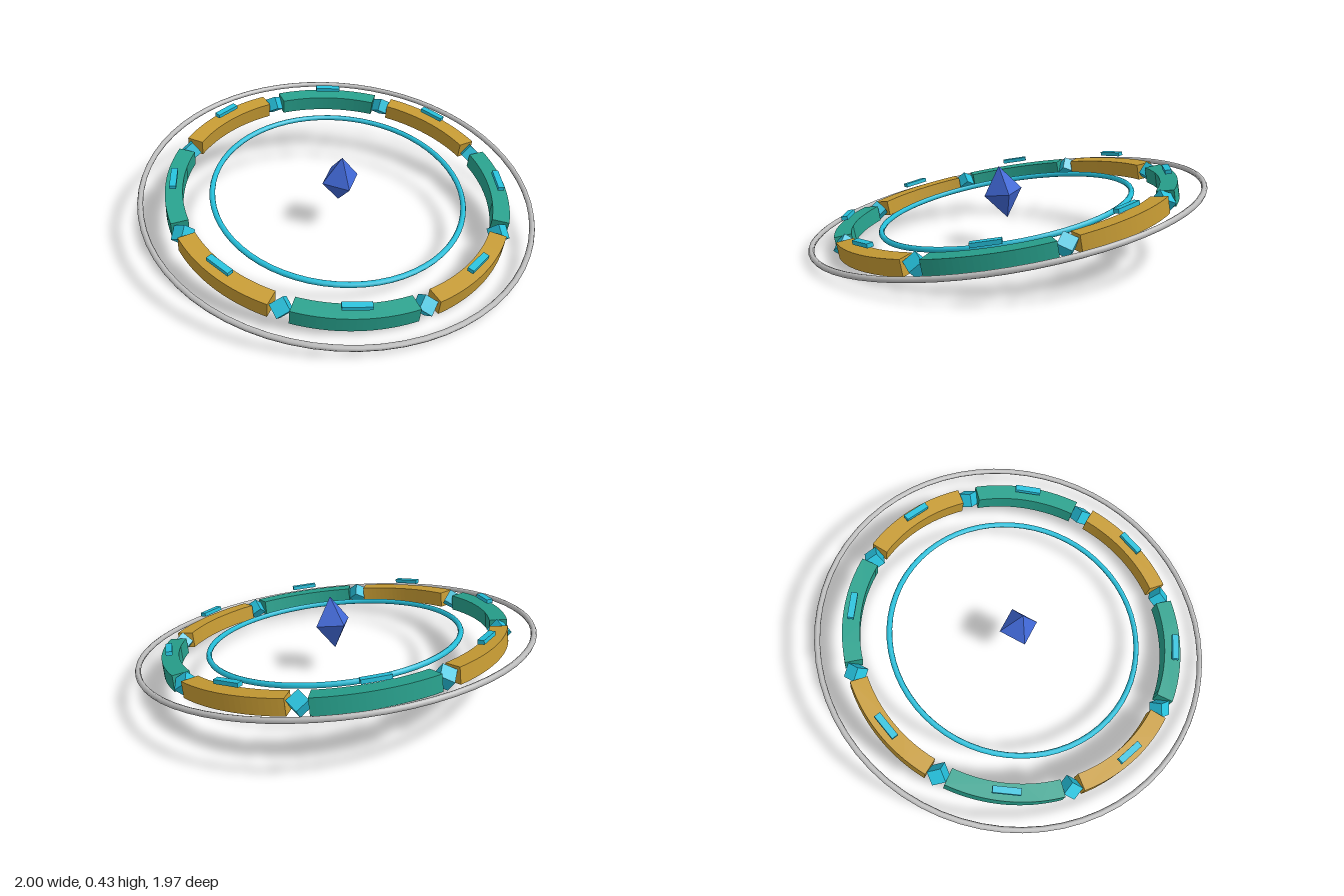
import * as THREE from 'three';

const mat = (name, color, flatShading = false) => {
  const m = new THREE.MeshStandardMaterial({ color, flatShading });
  m.name = name;
  return m;
};

export function createModel() {
  const gold = mat('gold', 0xc59a33);
  const green = mat('green', 0x27a08c);
  const cyan = mat('cyan', 0x25bfda);
  const silver = mat('silver', 0xbcbcbc);
  const blue = mat('blue', 0x4169d8, true);

  const model = new THREE.Group();
  model.name = 'floatingRing';
  const disc = new THREE.Group();
  disc.name = 'tiltedDisc';
  disc.position.y = 0.212;
  disc.rotation.x = THREE.MathUtils.degToRad(10);
  model.add(disc);

  const add = (parent, name, geometry, material) => {
    const mesh = new THREE.Mesh(geometry, material);
    mesh.name = name;
    parent.add(mesh);
    return mesh;
  };

  // Thin inner and outer hoops
  const hoop = (name, radius, tube, material) =>
    add(disc, name, new THREE.TorusGeometry(radius, tube, 8, 64).rotateX(Math.PI / 2), material);
  hoop('outerHoop', 0.985, 0.014, silver);
  hoop('innerHoop', 0.638, 0.014, cyan);

  // One curved block, centred on the back (-z) of the ring
  const half = THREE.MathUtils.degToRad(19.2);
  const arc = new THREE.Shape();
  arc.absarc(0, 0, 0.865, Math.PI / 2 - half, Math.PI / 2 + half, false);
  arc.absarc(0, 0, 0.78, Math.PI / 2 + half, Math.PI / 2 - half, true);
  arc.closePath();
  const blockGeo = new THREE.ExtrudeGeometry(arc, { depth: 0.08, bevelEnabled: false, curveSegments: 10 });
  blockGeo.translate(0, 0, -0.04).rotateX(-Math.PI / 2);
  const plateGeo = new THREE.BoxGeometry(0.135, 0.02, 0.032);
  const gemGeo = new THREE.BoxGeometry(0.07, 0.07, 0.07);

  // Eight blocks, each with a floating plate, and gems in the gaps
  for (let i = 0; i < 8; i++) {
    const sector = new THREE.Group();
    sector.name = 'sector' + (i + 1);
    sector.rotation.y = (i + 0.5) * Math.PI / 4;
    disc.add(sector);
    add(sector, 'ringBlock', blockGeo, i % 2 ? green : gold);
    add(sector, 'floatingPlate', plateGeo, cyan).position.set(0, 0.076, -0.823);

    const joint = new THREE.Group();
    joint.name = 'joint' + (i + 1);
    joint.rotation.y = i * Math.PI / 4;
    disc.add(joint);
    const gem = add(joint, 'jointGem', gemGeo, cyan);
    gem.position.z = -0.823;
    gem.rotation.set(Math.PI / 4, 0, Math.PI / 4);
  }

  // Tall central crystal
  const crystal = add(disc, 'centralCrystal', new THREE.OctahedronGeometry(0.1).scale(1, 1.35, 1), blue);
  crystal.position.y = 0.08;

  return model;
}
